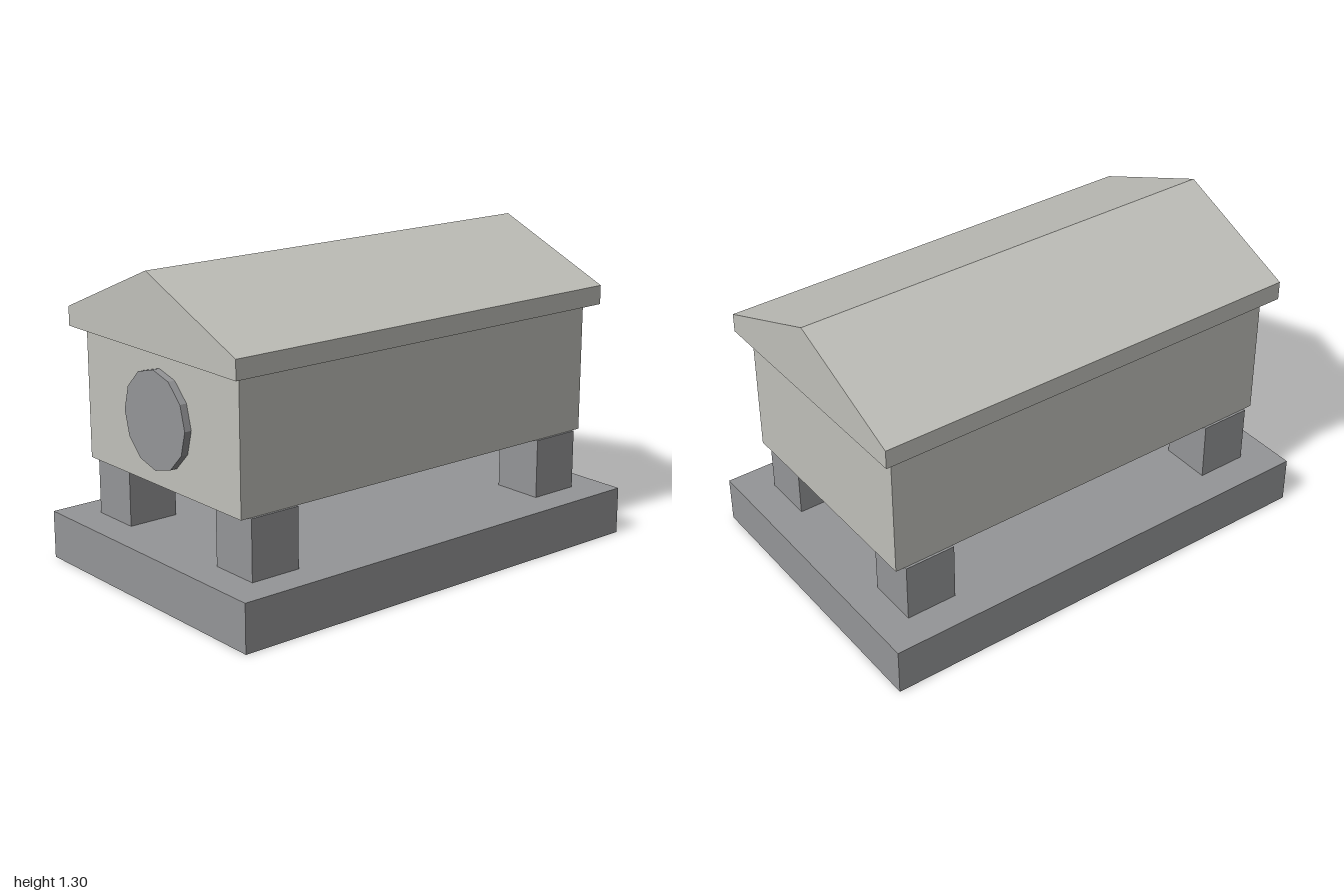
import * as THREE from 'three';

export function createModel() {
  const model = new THREE.Group();
  const material = (name, color) => {
    const m = new THREE.MeshStandardMaterial({ color, flatShading: true });
    m.name = name;
    return m;
  };
  const paleStone = material('pale stone', 0xc0c0ba);
  const greyStone = material('grey stone', 0x959698);

  const add = (name, geometry, mat, x = 0, y = 0, z = 0) => {
    const mesh = new THREE.Mesh(geometry, mat);
    mesh.name = name;
    mesh.position.set(x, y, z);
    model.add(mesh);
    return mesh;
  };

  // Base slab
  add('base', new THREE.BoxGeometry(1.3, 0.2, 2), greyStone, 0, 0.1, 0);

  // Four square feet, standing slightly proud of the chest sides
  const footGeometry = new THREE.BoxGeometry(0.22, 0.25, 0.22);
  for (const [xName, sx] of [['Left', 1], ['Right', -1]]) {
    for (const [zName, sz] of [['front', 1], ['back', -1]]) {
      add(`${zName}${xName}Foot`, footGeometry, greyStone, sx * 0.4, 0.325, sz * 0.75);
    }
  }

  // Chest
  add('chest', new THREE.BoxGeometry(1, 0.55, 1.8), paleStone, 0, 0.725, 0);

  // Gabled lid with a low vertical rim
  const gable = new THREE.Shape([
    [-0.55, 0.995], [0.55, 0.995], [0.55, 1.075], [0, 1.305], [-0.55, 1.075],
  ].map(([x, y]) => new THREE.Vector2(x, y)));
  const lid = new THREE.ExtrudeGeometry(gable, { depth: 1.9, bevelEnabled: false });
  add('lid', lid, paleStone, 0, 0, -0.95);

  // Twelve-sided disc on the front
  const disc = new THREE.CylinderGeometry(0.2, 0.2, 0.04, 12);
  disc.rotateX(Math.PI / 2);
  add('frontDisc', disc, greyStone, 0, 0.722, 0.91);

  return model;
}
